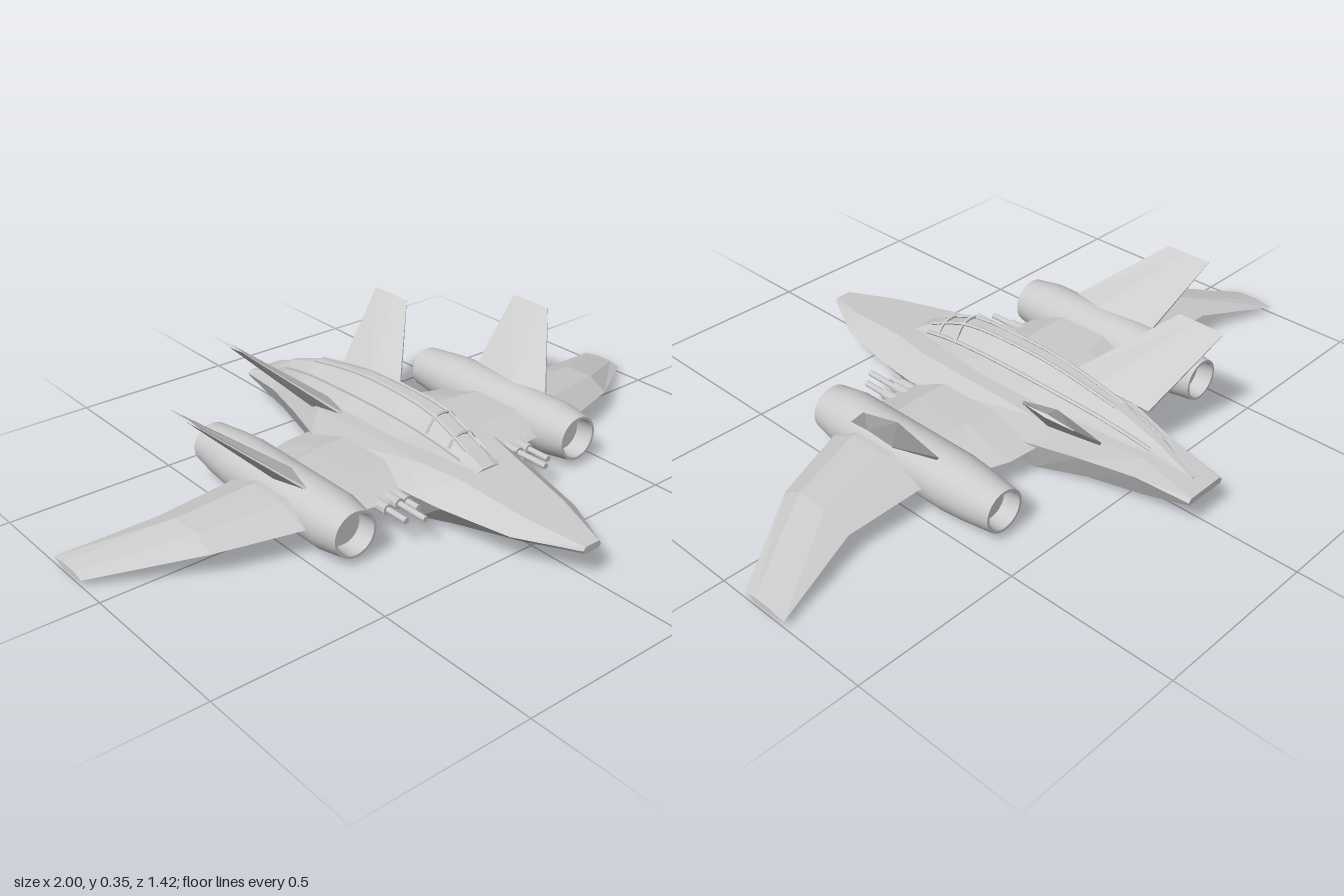
import * as THREE from 'three';
import { toCreasedNormals } from 'three/addons/utils/BufferGeometryUtils.js';

const flat = new THREE.MeshStandardMaterial({ color: 0xcccccc, flatShading: true });
const smooth = new THREE.MeshStandardMaterial({ color: 0xcccccc });

// Skin closed convex cross-sections (arrays of [x, y, z]) and cap both ends, faces outward.
function loft(rings) {
  const tris = [], n = rings[0].length;
  for (let r = 0; r < rings.length - 1; r++) {
    for (let i = 0; i < n; i++) {
      const j = (i + 1) % n, a = rings[r], b = rings[r + 1];
      tris.push([a[i], a[j], b[j]], [a[i], b[j], b[i]]);
    }
  }
  const first = rings[0], last = rings[rings.length - 1];
  for (let i = 1; i < n - 1; i++) {
    tris.push([first[0], first[i + 1], first[i]], [last[0], last[i], last[i + 1]]);
  }
  // The signed volume tells whether the skin is inside out.
  let volume = 0;
  for (const [a, b, c] of tris) {
    volume += new THREE.Vector3(...a).dot(new THREE.Vector3(...b).cross(new THREE.Vector3(...c)));
  }
  const pos = tris.flatMap(([a, b, c]) => (volume < 0 ? [a, c, b] : [a, b, c]).flat());
  const geo = new THREE.BufferGeometry();
  geo.setAttribute('position', new THREE.Float32BufferAttribute(pos, 3));
  geo.computeVertexNormals();
  return geo;
}

function add(parent, name, geo, mat = flat) {
  const mesh = new THREE.Mesh(geo, mat);
  mesh.name = name;
  parent.add(mesh);
  return mesh;
}

// Symmetric body section: half-width/height pairs from bottom to top.
function bodyRing([z, ...v]) {
  const right = [];
  for (let i = 0; i < v.length; i += 2) right.push([v[i], v[i + 1], z]);
  return [...right, ...right.map(([x, y]) => [-x, y, z]).reverse()];
}

// Wing section: leading edge, two top points, trailing edge, two bottom points.
function wingRing(s, [x, front, back, mid, top, bottom]) {
  const at = (t) => front + (back - front) * t;
  return [[0, mid], [0.25, top], [0.65, top], [1, mid], [0.7, bottom], [0.25, bottom]]
    .map(([t, y]) => [s * x, y, at(t)]);
}

// Canted fin with a ridge; stations are [x, y, front z, back z, half thickness].
function finGeo(s, base, tip) {
  const d = new THREE.Vector2(tip[0] - base[0], tip[1] - base[1]).normalize();
  const ring = ([x, y, front, back, h]) =>
    [[0, 0.15], [0.4, 1], [1, 0.15], [1, -0.15], [0.4, -1], [0, -0.15]].map(([t, k]) =>
      [s * (x - d.y * h * k), y + d.x * h * k, front + (back - front) * t]);
  return loft([ring(base), ring(tip)]);
}

function tube(points, radius) {
  const curve = new THREE.CatmullRomCurve3(points.map((p) => new THREE.Vector3(...p)));
  return new THREE.TubeGeometry(curve, 10, radius, 5);
}

export function createModel() {
  const model = new THREE.Group();
  model.name = 'fighter';

  // Hull, nose to tail
  add(model, 'hull', loft([
    [0.71, 0.025, 0.085, 0.032, 0.095, 0.025, 0.105],
    [0.54, 0.07, 0.058, 0.12, 0.092, 0.07, 0.13],
    [0.33, 0.115, 0.032, 0.172, 0.1, 0.1, 0.16],
    [0.2, 0.135, 0.005, 0.185, 0.1, 0.13, 0.17],
    [-0.24, 0.135, 0, 0.17, 0.1, 0.14, 0.17],
    [-0.39, 0.09, 0.02, 0.125, 0.1, 0.1, 0.165],
    [-0.55, 0.05, 0.025, 0.085, 0.1, 0.06, 0.15],
    [-0.71, 0.065, 0.085, 0.07, 0.095, 0.06, 0.105],
  ].map(bodyRing)));

  // Raised canopy running back into the spine
  add(model, 'canopySpine', loft([
    [0.33, 0.05, 0.14, 0.04, 0.16, 0.02, 0.165],
    [0.27, 0.06, 0.15, 0.045, 0.175, 0.025, 0.195],
    [0.14, 0.085, 0.155, 0.06, 0.205, 0.025, 0.248],
    [0, 0.1, 0.155, 0.065, 0.215, 0.022, 0.262],
    [-0.2, 0.1, 0.155, 0.06, 0.21, 0.02, 0.258],
    [-0.42, 0.07, 0.15, 0.045, 0.19, 0.015, 0.222],
    [-0.55, 0.045, 0.13, 0.03, 0.16, 0.012, 0.18],
    [-0.67, 0.012, 0.1, 0.01, 0.108, 0.006, 0.118],
  ].map(bodyRing)));

  // Cockpit hoops
  for (const [z, w, y] of [[0.22, 0.05, 0.19], [0.14, 0.06, 0.205]]) {
    const top = y + 0.03 + (0.22 - z) * 0.2;
    add(model, 'canopyHoop', tube([[-w, y, z], [-0.024, top, z], [0.024, top, z], [w, y, z]], 0.005));
  }

  // Engine shell with recessed intake and nozzle
  const profile = [
    [0, -0.34], [0.05, -0.34], [0.055, -0.39], [0.063, -0.39], [0.076, -0.29], [0.082, -0.22],
    [0.082, 0.19], [0.068, 0.275], [0.06, 0.275], [0.055, 0.22], [0, 0.22],
  ].map(([r, y]) => new THREE.Vector2(r, y));
  const engineGeo = toCreasedNormals(new THREE.LatheGeometry(profile, 24).rotateX(Math.PI / 2), 0.5);

  for (const s of [1, -1]) {
    const side = new THREE.Group();
    side.name = s > 0 ? 'leftSide' : 'rightSide';
    model.add(side);

    // Drooping cranked wing
    add(side, 'wing', loft([
      [0.1, 0.2, -0.27, 0.09, 0.135, 0.045],
      [0.25, 0.2, -0.26, 0.09, 0.135, 0.045],
      [0.5, 0.17, -0.17, 0.088, 0.133, 0.05],
      [0.73, 0.09, -0.16, 0.072, 0.105, 0.043],
      [1, -0.09, -0.237, 0.019, 0.027, 0.011],
    ].map((st) => wingRing(s, st))));

    add(side, 'engine', engineGeo, smooth).position.set(s * 0.41, 0.09, 0);

    // Canted fins on engine and rear hull
    add(side, 'engineFin', finGeo(s, [0.425, 0.15, 0.125, -0.18, 0.026], [0.632, 0.328, -0.08, -0.23, 0.004]));
    add(side, 'tailFin', finGeo(s, [0.1, 0.16, -0.16, -0.44, 0.026], [0.305, 0.35, -0.37, -0.52, 0.005]));

    // Gun cluster ahead of the wing root
    const guns = new THREE.Group();
    guns.name = 'gunCluster';
    side.add(guns);
    for (const [x, y, tip] of [[0.195, 0.085, 0.27], [0.222, 0.088, 0.33], [0.262, 0.085, 0.3]]) {
      for (const [name, r, end] of [['gunBarrel', 0.009, tip], ['gunSleeve', 0.016, 0.225]]) {
        const geo = new THREE.CylinderGeometry(r, r, end - 0.12, 10).rotateX(Math.PI / 2);
        add(guns, name, toCreasedNormals(geo, 0.8), smooth).position.set(s * x, y, (end + 0.12) / 2);
      }
    }

    // Long rails framing the canopy and the spine
    add(side, 'canopyRail', tube([
      [s * 0.025, 0.195, 0.27], [s * 0.025, 0.25, 0.14], [s * 0.022, 0.263, 0], [s * 0.02, 0.259, -0.2],
      [s * 0.015, 0.223, -0.42],
    ], 0.005));
    add(side, 'spineRail', tube([
      [s * 0.045, 0.177, 0.27], [s * 0.06, 0.207, 0.14], [s * 0.065, 0.217, 0], [s * 0.06, 0.211, -0.2],
      [s * 0.045, 0.19, -0.42], [s * 0.03, 0.16, -0.55],
    ], 0.006));
  }
  return model;
}
